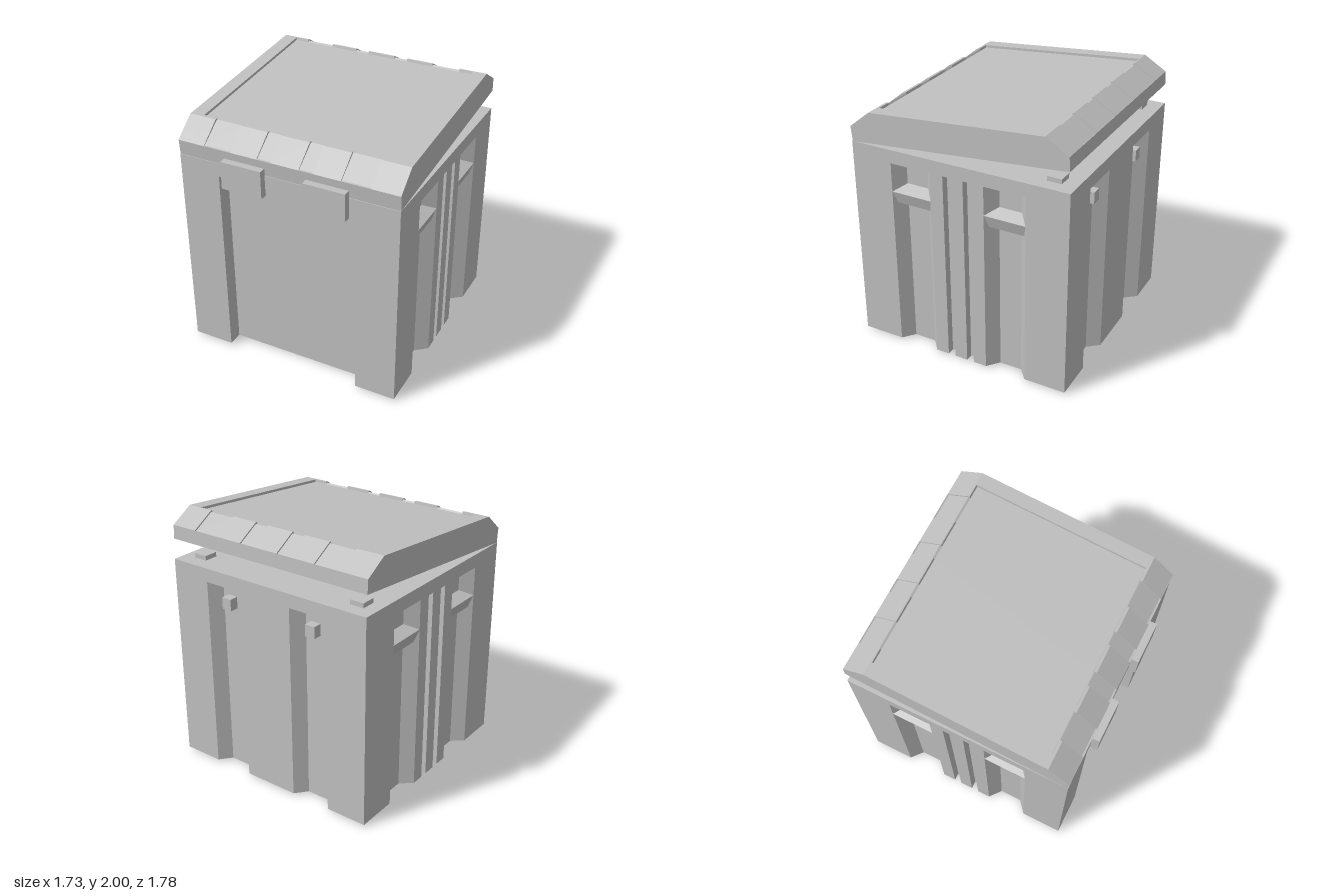
import * as THREE from 'three';

const grey = new THREE.MeshStandardMaterial({ color: 0xc0c0c0 });
grey.name = 'plain grey';

export function createModel() {
  const model = new THREE.Group();
  model.name = 'lidded crate';

  const add = (name, geometry) => {
    const mesh = new THREE.Mesh(geometry, grey);
    mesh.name = name;
    model.add(mesh);
    return mesh;
  };
  // Box given by its limits on each axis
  const box = (name, x0, x1, y0, y1, z0, z1) => {
    const g = new THREE.BoxGeometry(x1 - x0, y1 - y0, z1 - z0);
    add(name, g.translate((x0 + x1) / 2, (y0 + y1) / 2, (z0 + z1) / 2));
  };
  const extrude = (points, depth) => new THREE.ExtrudeGeometry(
    new THREE.Shape(points.map(([a, b]) => new THREE.Vector2(a, b))),
    { depth, bevelEnabled: false });

  const W = 0.865, FRONT = 0.84, BACK = -0.89, DEPTH = 0.09, SLANT = 0.075;
  const grooveTop = 1.53, floorY = 0.015;

  // Body plan: half outline from front centre round to back centre, mirrored
  const wideGroove = (z) => [[W, z], [W - DEPTH, z - SLANT], [W - DEPTH, z - 0.25], [W, z - 0.325]];
  const slot = (z0, z1) => [[W, z0], [W - 0.06, z0], [W - 0.06, z1], [W, z1]];
  const half = [
    [0.545, 0.725], [0.545, FRONT], [W, FRONT],
    ...wideGroove(0.515), ...slot(0.085, 0.027), ...slot(-0.077, -0.135), ...wideGroove(-0.24),
    [W, BACK], [0.545, BACK], [0.47, BACK + DEPTH], [0.295, BACK + DEPTH], [0.22, BACK],
  ];
  const plan = [...half, ...half.map(([x, z]) => [-x, z]).reverse()].map(([x, z]) => [x, -z]);
  add('groovedBody', extrude(plan, grooveTop - floorY).rotateX(-Math.PI / 2).translate(0, floorY, 0));
  box('bodyRim', -W, W, grooveTop, 1.635, BACK, FRONT);
  box('basePlate', -0.65, 0.65, 0, floorY, -0.67, 0.63);

  // Handle: loft through rings [x, y, half width] that follow the groove walls
  const handleGeometry = (side, zc) => {
    const rings = [[W - DEPTH, 1.35, 0.0875], [W, 1.305, 0.1625], [W - 0.03, 1.21, 0.1375], [W - DEPTH, 1.21, 0.0875]];
    const pos = [], index = [];
    for (const [x, y, h] of rings) pos.push(side * x, y, zc + h, side * x, y, zc - h);
    const tri = (a, b, c) => index.push(...(side > 0 ? [a, b, c] : [a, c, b]));
    for (let i = 0; i < 4; i++) {
      const a = i * 2, b = ((i + 1) % 4) * 2;
      tri(a, b, b + 1);
      tri(a, b + 1, a + 1);
    }
    tri(0, 4, 2); tri(0, 6, 4);
    tri(1, 3, 5); tri(1, 5, 7);
    const g = new THREE.BufferGeometry();
    g.setAttribute('position', new THREE.Float32BufferAttribute(pos, 3));
    g.setIndex(index);
    const flat = g.toNonIndexed();
    flat.computeVertexNormals();
    return flat;
  };

  for (const s of [-1, 1]) {
    for (const z of [0.3525, -0.4025]) add('sideHandle', handleGeometry(s, z));
    const c = s * 0.325, b = s * 0.3825, h = s * 0.71;
    box('frontLatch', c - 0.1625, c + 0.1625, 1.475, 1.69, 0.835, 0.895);
    box('backPeg', b - 0.04, b + 0.04, 1.345, 1.435, BACK + 0.02, BACK + DEPTH);
    box('hingeBlock', h - 0.055, h + 0.055, 1.635, 1.67, -0.78, -0.67);
  }

  // Lid: tilted side profile [z, y], with sunken top panel and notched bevels
  const lidProfile = (panel, notch) => {
    const d = notch ? 0.012 : 0;
    const p = [[-0.88, 1.79], [0.835, 1.635], [0.845, 1.75]];
    if (notch) p.push([0.832, 1.752], [0.675 - d, 1.882 - d * 0.3]);
    else p.push([0.68, 1.885]);
    if (panel) {
      if (!notch) p.push([0.658, 1.887]);
      p.push([0.655, 1.867], [-0.685, 1.979]);
      if (!notch) p.push([-0.69, 1.999]);
    }
    if (notch) p.push([-0.70, 1.988], [-0.866, 1.889]);
    else p.push([-0.70, 2.0]);
    p.push([-0.875, 1.895]);
    return p;
  };
  const lidStrip = (name, x0, x1, panel, notch) => {
    const points = lidProfile(panel, notch).map(([z, y]) => [-z, y]);
    add(name, extrude(points, x1 - x0).rotateY(Math.PI / 2).translate(x0, 0, 0));
  };
  const cuts = [0.11, 0.22, 0.43, 0.65, 0.76];
  lidStrip('lidCentre', -0.11, 0.11, true, false);
  for (let i = 0; i < 4; i++) {
    const a = cuts[i], b = cuts[i + 1], notch = i % 2 === 0;
    lidStrip(notch ? 'lidNotch' : 'lidRib', a, b, true, notch);
    lidStrip(notch ? 'lidNotch' : 'lidRib', -b, -a, true, notch);
  }
  lidStrip('lidRail', 0.76, W, false, false);
  lidStrip('lidRail', -W, -0.76, false, false);

  return model;
}
